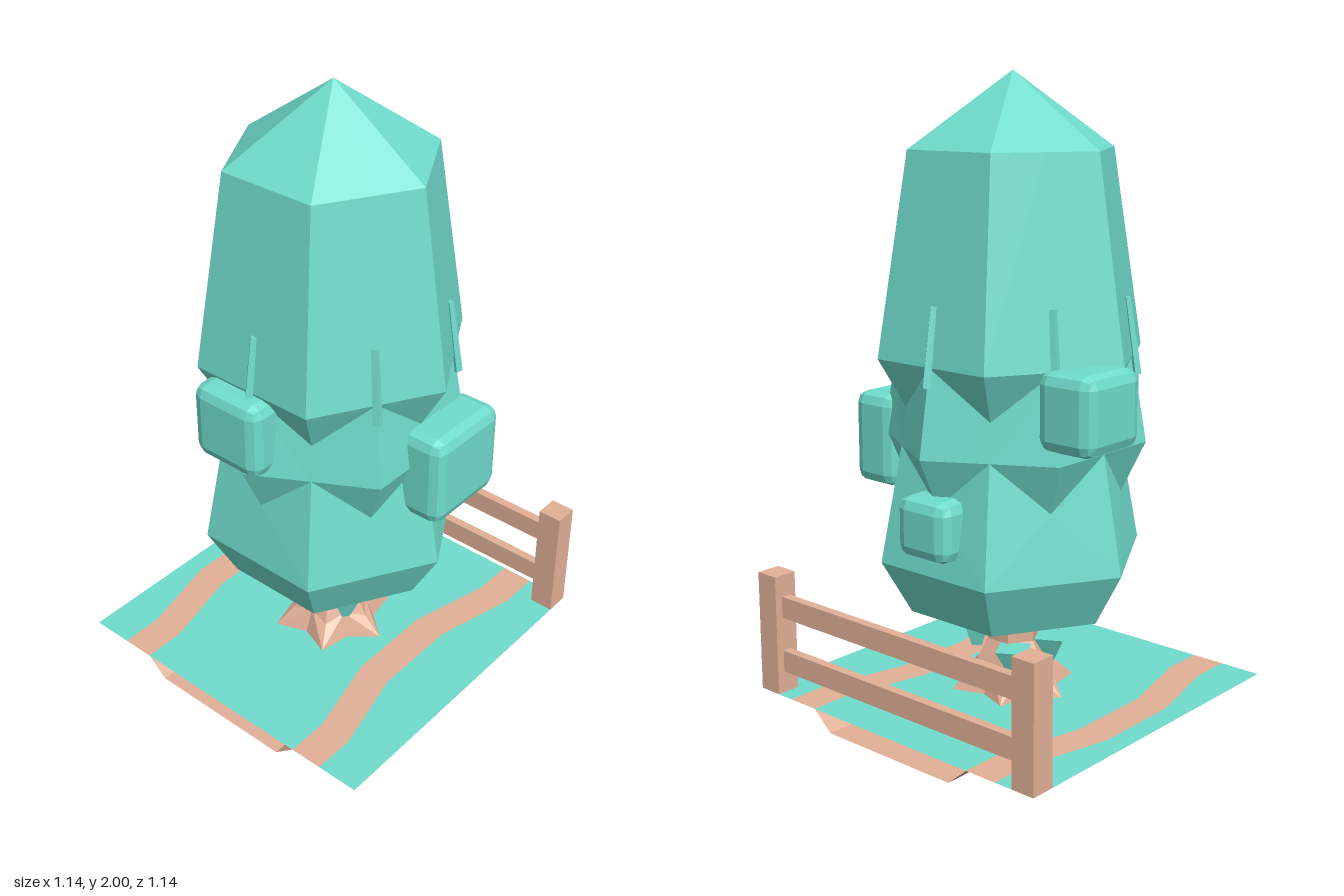
import * as THREE from 'three';
import { RoundedBoxGeometry } from 'three/addons/geometries/RoundedBoxGeometry.js';

const mat = (color) => new THREE.MeshStandardMaterial({ color, flatShading: true, side: THREE.DoubleSide });
const leafMat = mat(0x70dccc);
const woodMat = mat(0xe2b097);

function add(parent, name, geometry, material, x = 0, y = 0, z = 0) {
  const mesh = new THREE.Mesh(geometry, material);
  mesh.name = name;
  mesh.position.set(x, y, z);
  parent.add(mesh);
  return mesh;
}

// Ring of corner and mid columns: rows hold [cornerY, cornerR, midY, midR], top to bottom
function facetedColumn(rows, sides, apexY) {
  const pos = [];
  const point = (k, row) => {
    const a = (k * Math.PI) / sides;
    const [y, r] = k % 2 ? [row[2], row[3]] : [row[0], row[1]];
    return new THREE.Vector3(Math.cos(a) * r, y, -Math.sin(a) * r);
  };
  const tri = (a, b, c) => {
    const area = b.clone().sub(a).cross(c.clone().sub(a)).length();
    if (area > 1e-7) for (const p of [a, b, c]) pos.push(p.x, p.y, p.z);
  };
  const last = rows[rows.length - 1];
  for (let k = 0; k < sides * 2; k++) {
    tri(new THREE.Vector3(0, apexY, 0), point(k, rows[0]), point(k + 1, rows[0]));
    for (let i = 0; i < rows.length - 1; i++) {
      const a = point(k, rows[i]), b = point(k + 1, rows[i]);
      const c = point(k, rows[i + 1]), d = point(k + 1, rows[i + 1]);
      // split along the corner-to-mid diagonal so both halves of a side mirror
      if (k % 2) { tri(a, c, d); tri(a, d, b); } else { tri(a, c, b); tri(b, c, d); }
    }
    tri(new THREE.Vector3(0, last[0], 0), point(k + 1, last), point(k, last));
  }
  const g = new THREE.BufferGeometry();
  g.setAttribute('position', new THREE.Float32BufferAttribute(pos, 3));
  g.computeVertexNormals();
  return g;
}

// Strip along z between two edges [x, y, bend]; bend 1 follows the stream's curve
function ribbon(left, right) {
  const zs = [-0.57, -0.43, -0.15, 0.15, 0.43, 0.57];
  const shift = [0, 0, -0.07, -0.07, 0, 0];
  const pos = [], index = [];
  zs.forEach((z, i) => {
    for (const [x, y, bend] of [left, right]) pos.push(x + shift[i] * bend, y, z);
    if (i) {
      const n = i * 2;
      index.push(n - 2, n, n - 1, n - 1, n, n + 1);
    }
  });
  const g = new THREE.BufferGeometry();
  g.setAttribute('position', new THREE.Float32BufferAttribute(pos, 3));
  g.setIndex(index);
  g.computeVertexNormals();
  return g;
}

function buildGround() {
  const ground = new THREE.Group();
  ground.name = 'ground';
  const top = 0.06;
  for (const s of [-1, 1]) {
    const strip = (name, a, b, m) => add(ground, name, s < 0 ? ribbon(a, b) : ribbon(b, a), m);
    strip('grass', [s * 0.57, top, 0], [s * 0.43, top, 1], leafMat);
    strip('shore', [s * 0.43, top, 1], [s * 0.32, top, 1], woodMat);
    strip('bank', [s * 0.32, top, 1], [s * 0.25, 0, 1], woodMat);
  }
  add(ground, 'water', ribbon([-0.32, top, 1], [0.32, top, 1]), leafMat);
  add(ground, 'streamBed', ribbon([-0.25, 0, 1], [0.25, 0, 1]), woodMat);
  return ground;
}

function buildFence() {
  const fence = new THREE.Group();
  fence.name = 'fence';
  for (const s of [-1, 1]) {
    add(fence, 'fencePost', new THREE.BoxGeometry(0.08, 0.39, 0.08), woodMat, s * 0.53, 0.255, -0.53);
  }
  for (const y of [0.165, 0.345]) {
    add(fence, 'fenceRail', new THREE.BoxGeometry(0.98, 0.07, 0.03), woodMat, 0, y, -0.53);
  }
  return fence;
}

function buildTree() {
  const tree = new THREE.Group();
  tree.name = 'tree';

  // Trunk flaring into pointed roots
  add(tree, 'trunk', facetedColumn([
    [0.4, 0.085, 0.4, 0.075],
    [0.22, 0.085, 0.22, 0.075],
    [0.12, 0.14, 0.14, 0.11],
    [0.06, 0.205, 0.06, 0.14],
  ], 6, 0.4), woodMat);
  add(tree, 'twig', new THREE.BoxGeometry(0.04, 0.05, 0.05), woodMat, -0.02, 0.31, 0.09);

  // Crown with a pinched waist
  add(tree, 'crown', facetedColumn([
    [1.77, 0.33, 1.77, 0.286],
    [1.15, 0.43, 1.15, 0.372],
    [1.0, 0.345, 1.15, 0.372],
    [0.88, 0.36, 0.88, 0.417],
    [0.88, 0.36, 0.72, 0.342],
    [0.51, 0.43, 0.51, 0.372],
    [0.34, 0.335, 0.34, 0.29],
  ], 6, 2), leafMat);

  // Slim ridge on each side of the crown
  for (let i = 0; i < 6; i++) {
    const pivot = new THREE.Group();
    pivot.name = 'ridge';
    pivot.rotation.y = (i * Math.PI) / 3;
    const ridge = add(pivot, 'ridgeBar', new THREE.CylinderGeometry(0.012, 0.016, 0.24, 4), leafMat, 0, 1.21, 0.367);
    ridge.rotation.x = -0.14;
    tree.add(pivot);
  }

  // Chamfered foliage blocks: x, y, z, width, height, depth
  const blocks = [
    [-0.052, 1.015, 0.36, 0.255, 0.25, 0.16],
    [0.385, 0.85, -0.085, 0.17, 0.3, 0.31],
    [-0.39, 1.04, -0.115, 0.2, 0.24, 0.25],
    [0, 0.665, -0.345, 0.2, 0.19, 0.16],
  ];
  for (const [x, y, z, w, h, d] of blocks) {
    add(tree, 'foliageBlock', new RoundedBoxGeometry(w, h, d, 1, 0.038), leafMat, x, y, z);
  }

  // Pointed sprigs around the trunk: angle, radius, y, size, height
  const sprigs = [
    [0.95, 0.12, 0.265, 0.075, 0.13],
    [-0.95, 0.12, 0.265, 0.075, 0.13],
    [1.75, 0.11, 0.18, 0.07, 0.08],
    [2.45, 0.12, 0.18, 0.07, 0.08],
    [-2.3, 0.12, 0.18, 0.07, 0.08],
    [0.5, 0.11, 0.18, 0.06, 0.09],
  ];
  for (const [a, r, y, size, h] of sprigs) {
    const sprig = add(tree, 'sprig', new THREE.CylinderGeometry(size, size * 0.3, h, 4),
      leafMat, Math.cos(a) * r, y, Math.sin(a) * r);
    sprig.rotation.y = -a + 0.6;
  }
  return tree;
}

export function createModel() {
  const model = new THREE.Group();
  model.name = 'treeScene';
  model.add(buildGround(), buildFence(), buildTree());
  return model;
}
